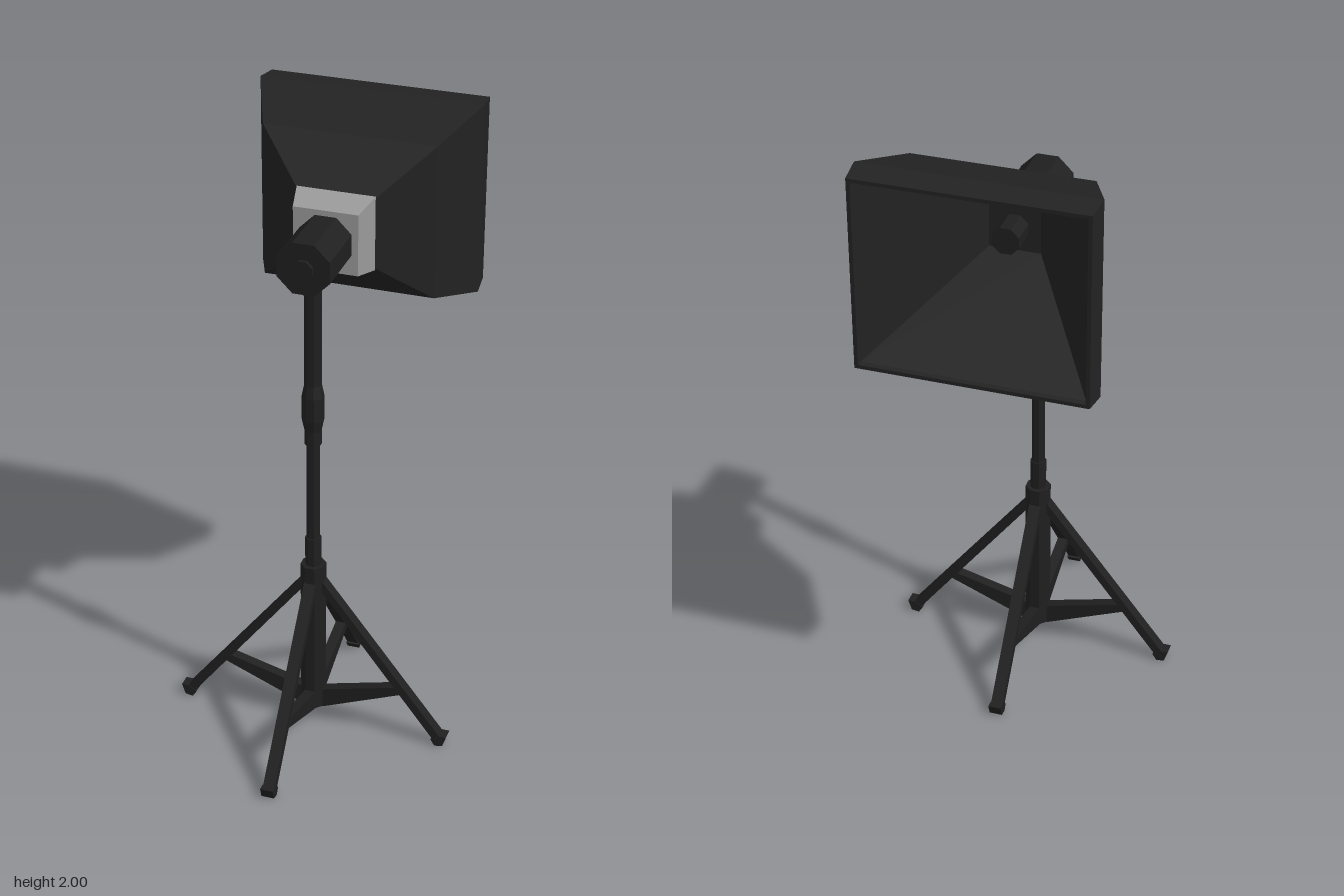
import * as THREE from 'three';

const flat = (name, color, side = THREE.FrontSide) => {
  const m = new THREE.MeshStandardMaterial({ color, flatShading: true, side });
  m.name = name;
  return m;
};

const POLE_Z = 0.09, HEAD_Y = 1.685;

// Rectangular rings [z, halfWidth, halfHeight] joined in order, both ends capped
function rectLoft(rings) {
  const pos = [], idx = [];
  const corners = [[1, 1], [-1, 1], [-1, -1], [1, -1]];
  for (const [z, w, h] of rings) for (const [sx, sy] of corners) pos.push(sx * w, sy * h, z);
  for (let k = 0; k < rings.length - 1; k++) {
    for (let j = 0; j < 4; j++) {
      const a = k * 4 + j, b = k * 4 + (j + 1) % 4;
      idx.push(a, a + 4, b, b, a + 4, b + 4);
    }
  }
  const e = (rings.length - 1) * 4;
  idx.push(0, 1, 2, 0, 2, 3, e, e + 2, e + 1, e, e + 3, e + 2);
  const g = new THREE.BufferGeometry();
  g.setAttribute('position', new THREE.Float32BufferAttribute(pos, 3));
  g.setIndex(idx);
  const out = g.toNonIndexed();
  out.computeVertexNormals();
  return out;
}

// Side outline in x/y given a thickness in z
function plate(points, width) {
  const shape = new THREE.Shape(points.map(([x, y]) => new THREE.Vector2(x, y)));
  const g = new THREE.ExtrudeGeometry(shape, { depth: width, bevelEnabled: false });
  return g.translate(0, 0, -width / 2);
}

export function createModel() {
  const black = flat('black metal', 0x1f1f1f);
  const fabric = flat('black fabric', 0x222222);
  const grey = flat('grey housing', 0x9a9a9a);

  const model = new THREE.Group();
  model.name = 'studioSoftboxLight';
  const add = (parent, name, geometry, material) => {
    const m = new THREE.Mesh(geometry, material);
    m.name = name;
    parent.add(m);
    return m;
  };

  // Stand
  const stand = new THREE.Group();
  stand.name = 'stand';
  stand.position.z = POLE_Z;
  model.add(stand);
  const tube = (name, r, y0, y1) => {
    const g = new THREE.CylinderGeometry(r, r, y1 - y0, 8).rotateY(Math.PI / 8);
    return add(stand, name, g.translate(0, (y0 + y1) / 2, 0), black);
  };
  tube('hub', 0.041, 0.065, 0.61);
  tube('lowerCollar', 0.026, 0.6, 0.71);
  tube('lowerPole', 0.021, 0.7, 1.06);
  tube('upperPole', 0.027, 1.05, 1.65);
  const grip = [[0.027, 1.1], [0.035, 1.14], [0.035, 1.22], [0.027, 1.26]];
  add(stand, 'grip', new THREE.LatheGeometry(grip.map(p => new THREE.Vector2(...p)), 8, Math.PI / 8), black);

  // Four legs with braces and feet
  const legGeo = plate([[0.02, 0.575], [0.02, 0.535], [0.418, 0.018], [0.44, 0.035]], 0.038);
  const braceGeo = plate([[0.02, 0.065], [0.04, 0.065], [0.315, 0.178], [0.295, 0.2], [0.02, 0.128]], 0.034);
  const footGeo = plate([[0.422, 0], [0.448, 0.004], [0.46, 0.04], [0.436, 0.04], [0.408, 0.022]], 0.042);
  for (let i = 0; i < 4; i++) {
    const leg = new THREE.Group();
    leg.name = 'legAssembly' + (i + 1);
    leg.rotation.y = i * Math.PI / 2;
    add(leg, 'leg', legGeo, black);
    add(leg, 'brace', braceGeo, black);
    add(leg, 'foot', footGeo, black);
    stand.add(leg);
  }

  // Lamp head
  const head = new THREE.Group();
  head.name = 'lampHead';
  head.position.y = HEAD_Y;
  model.add(head);
  const barrel = (name, r, z0, z1) => {
    const g = new THREE.CylinderGeometry(r, r, z1 - z0, 8).rotateY(Math.PI / 8).rotateX(Math.PI / 2);
    return add(head, name, g.translate(0, 0, (z0 + z1) / 2), black);
  };
  barrel('lampBody', 0.089, -0.03, 0.176);
  barrel('rearKnob', 0.033, 0.17, 0.187);
  barrel('bulb', 0.045, -0.23, -0.13);
  add(head, 'housing', rectLoft([[-0.027, 0.103, 0.1], [-0.126, 0.125, 0.122]]), grey);

  // Softbox: outer shell, thin rim, then the funnel inside
  add(head, 'softbox', rectLoft([
    [-0.126, 0.125, 0.116], [-0.253, 0.278, 0.253], [-0.465, 0.362, 0.317], [-0.55, 0.355, 0.308],
    [-0.55, 0.343, 0.296], [-0.535, 0.34, 0.293], [-0.14, 0.08, 0.075],
  ]), fabric);

  return model;
}
